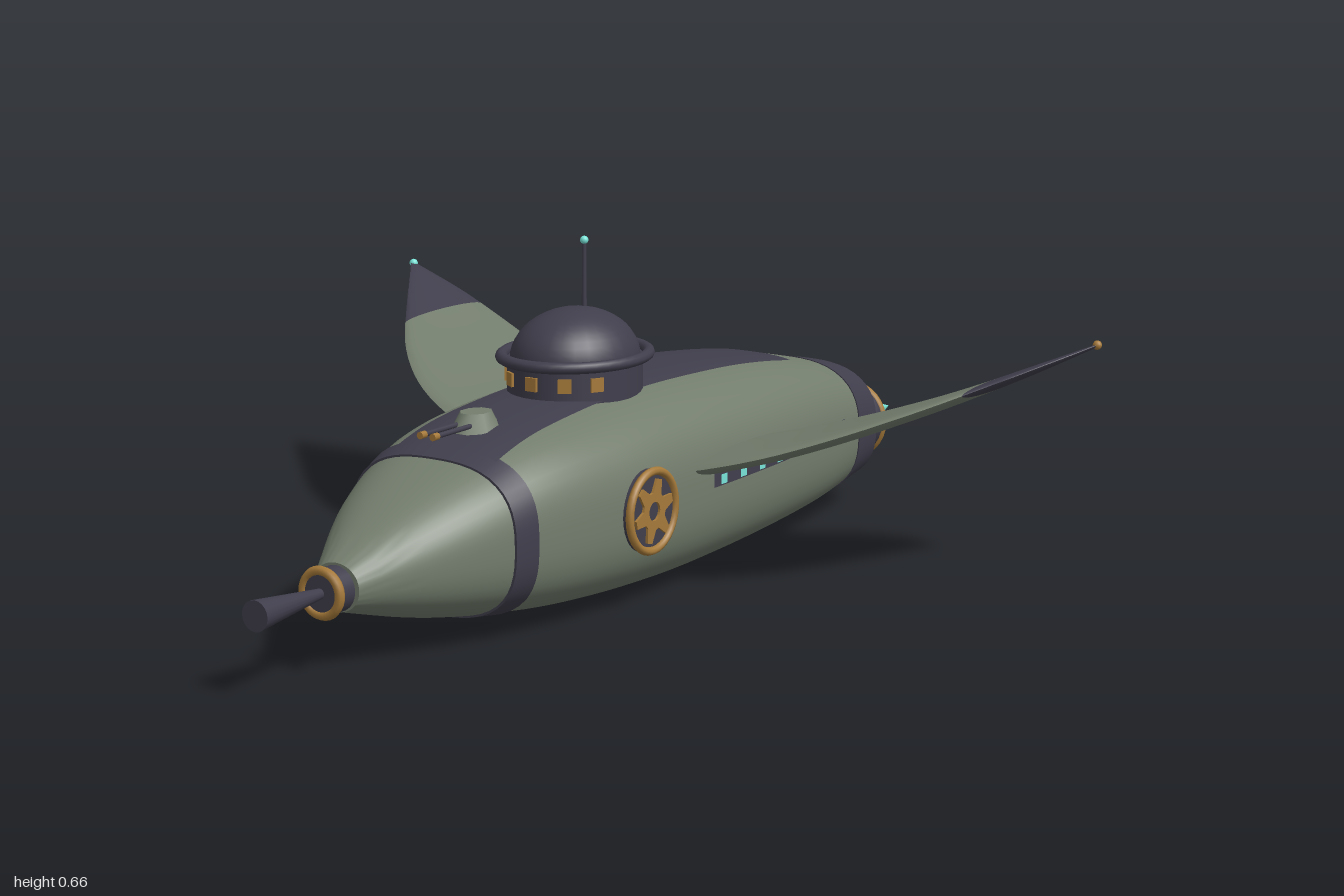
import * as THREE from 'three';
import { toCreasedNormals } from 'three/addons/utils/BufferGeometryUtils.js';

const paint = (name, color) => Object.assign(new THREE.MeshStandardMaterial({ color }), { name });

// Smooth interpolation through evenly spaced keys, t in 0..1
function sample(keys, t) {
  const n = keys.length - 1, f = Math.min(Math.max(t, 0), 1) * n;
  const i = Math.min(Math.floor(f), n - 1), k = f - i;
  const p1 = keys[i], p2 = keys[i + 1];
  const p0 = i > 0 ? keys[i - 1] : 2 * p1 - p2;
  const p3 = i + 2 <= n ? keys[i + 2] : 2 * p2 - p1;
  return p1 + 0.5 * k * (p2 - p0 + k * (2 * p0 - 5 * p1 + 4 * p2 - p3 + k * (3 * (p1 - p2) + p3 - p0)));
}

// Surface from a rule fn(u, v) -> [x, y, z]
function surface(nu, nv, fn) {
  const pos = [], idx = [];
  for (let i = 0; i <= nu; i++) for (let j = 0; j <= nv; j++) pos.push(...fn(i / nu, j / nv));
  for (let i = 0; i < nu; i++) for (let j = 0; j < nv; j++) {
    const a = i * (nv + 1) + j, b = a + nv + 1;
    idx.push(a, b, b + 1, a, b + 1, a + 1);
  }
  const g = new THREE.BufferGeometry();
  g.setAttribute('position', new THREE.Float32BufferAttribute(pos, 3));
  g.setIndex(idx);
  return toCreasedNormals(g, 0.7);
}

// Hull section keys, z from -0.8 to 0.8 in steps of 0.2
const HALF_WIDTH = [0.165, 0.2, 0.225, 0.237, 0.24, 0.235, 0.207, 0.145, 0.04];
const TOP = [0.29, 0.335, 0.362, 0.375, 0.38, 0.372, 0.348, 0.285, 0.18];
const BOTTOM = [0.04, 0.02, 0.01, 0.003, 0, 0.008, 0.025, 0.055, 0.108];
const SQUARENESS = [2.6, 2.8, 2.8, 2.8, 2.8, 2.8, 2.8, 2.5, 2];
function section(z) {
  const t = (z + 0.8) / 1.6, top = sample(TOP, t), bot = sample(BOTTOM, t);
  return { w: sample(HALF_WIDTH, t), h: (top - bot) / 2, cy: (top + bot) / 2, n: sample(SQUARENESS, t) };
}

// Hull skin through rows of [z, scale]
function hullSkin(rows) {
  return surface(rows.length - 1, 56, (u, v) => {
    const [z, k] = rows[Math.round(u * (rows.length - 1))];
    const { w, h, cy, n } = section(z), a = v * Math.PI * 2;
    const s = Math.sin(a), c = Math.cos(a);
    const r = k / Math.pow(Math.abs(s) ** n + Math.abs(c) ** n, 1 / n);
    return [w * r * s, cy + h * r * c, z];
  });
}
const hullSideX = (y, z) => {
  const { w, h, cy, n } = section(z);
  return w * Math.pow(Math.max(0, 1 - Math.abs((y - cy) / h) ** n), 1 / n);
};
const hullTopY = (x, z) => {
  const { w, h, cy, n } = section(z);
  return cy + h * Math.pow(Math.max(0, 1 - Math.abs(x / w) ** n), 1 / n);
};

export function createModel() {
  const model = new THREE.Group();
  model.name = 'submarine';
  const olive = paint('olive grey', 0x737d6d);
  const dark = paint('dark slate', 0x403e4c);
  const brass = paint('brass', 0xa67a3a);
  const cyan = paint('cyan', 0x78e4d8);

  const add = (name, geo, mat, p = [0, 0, 0], r = [0, 0, 0], parent = model) => {
    const m = new THREE.Mesh(geo, mat);
    m.name = name;
    m.position.set(...p);
    m.rotation.set(...r);
    parent.add(m);
    return m;
  };

  // Hull, tail band and nose band
  const hullRows = [];
  for (let i = 0; i <= 40; i++) hullRows.push([-0.79 + 1.57 * i / 40, 1]);
  add('hull', hullSkin([...hullRows, [0.78, 0]]), olive);
  add('tailBand', hullSkin([[-0.805, 0], [-0.805, 1.012], [-0.77, 1.012], [-0.74, 1.012], [-0.705, 1.012], [-0.705, 0.97]]), dark);
  add('noseBand', hullSkin([[0.45, 0.97], [0.45, 1.02], [0.475, 1.02], [0.5, 1.025], [0.5, 0.97]]), dark);

  // Deck panel, slightly wider towards the bow
  add('deckPanel', surface(40, 12, (u, v) => {
    const z = -0.57 + 1.03 * u, x = (v * 2 - 1) * (0.1 + 0.012 * u);
    return [x, hullTopY(x, z) + 0.004, z];
  }), dark);

  // Thin plate lying on the hull side
  const sidePlate = (name, side, y0, y1, zMid, len, lift, mat, seg) =>
    add(name, surface(2, seg, (u, v) => {
      const y = y0 + (y1 - y0) * u, z = zMid + side * (v - 0.5) * len;
      return [side * (hullSideX(y, z) + lift), y, z];
    }), mat);

  // Gear emblem outline
  const gear = new THREE.Shape();
  for (let i = 0; i < 24; i++) {
    const a = (i + 0.5) / 24 * Math.PI * 2, r = i % 4 < 2 ? 0.061 : 0.036;
    gear[i ? 'lineTo' : 'moveTo'](r * Math.cos(a), r * Math.sin(a));
  }
  gear.closePath();
  gear.holes.push(new THREE.Path().absarc(0, 0, 0.018, 0, Math.PI * 2, true));
  const gearGeo = new THREE.ExtrudeGeometry(gear, { depth: 0.006, bevelEnabled: false });

  // Fin keys, x from 0.15 to 0.81
  const LEAD = [0.005, -0.003, -0.03, -0.09, -0.195, -0.345, -0.505];
  const TRAIL = [-0.32, -0.4, -0.468, -0.515, -0.538, -0.54, -0.518];
  const RISE = [0.215, 0.24, 0.27, 0.308, 0.352, 0.402, 0.455];
  const THICK = [0.026, 0.024, 0.021, 0.017, 0.013, 0.009, 0.003];
  const fin = (side, x0, x1, seg) => surface(seg, 24, (u, v) => {
    const x = x0 + (x1 - x0) * u, t = (x - 0.15) / 0.66, a = side * v * Math.PI * 2;
    const l = sample(LEAD, t), b = sample(TRAIL, t);
    return [side * x, sample(RISE, t) + sample(THICK, t) * Math.sin(a), (l + b) / 2 + (l - b) / 2 * Math.cos(a)];
  });

  // Engine nozzle profile, open at the rear
  const nozzleGeo = new THREE.LatheGeometry([[0.07, 0], [0.072, 0.03], [0.078, 0.05], [0.064, 0.05], [0.058, 0.012], [0, 0.012]]
    .map(([x, y]) => new THREE.Vector2(x, y)), 28);

  for (const side of [1, -1]) {
    const tag = side > 0 ? 'left' : 'right';

    // Fins with dark ends and a small lamp
    add(tag + 'Fin', fin(side, 0.15, 0.65, 20), olive);
    add(tag + 'FinTip', fin(side, 0.65, 0.81, 8), dark);
    add(tag + 'FinLamp', new THREE.SphereGeometry(0.009, 10, 8), side > 0 ? brass : cyan, [side * 0.808, 0.455, -0.512]);

    // Row of lit portholes
    sidePlate(tag + 'WindowStrip', side, 0.191, 0.218, -0.34, 0.56, 0.003, dark, 24);
    for (let i = 0; i < 8; i++)
      sidePlate(tag + 'Window', side, 0.195, 0.214, -0.09 - i * 0.0715, 0.022, 0.007, cyan, 1);

    // Side medallion
    const medal = new THREE.Group();
    medal.name = tag + 'Medallion';
    medal.position.set(side * 0.236, 0.19, 0.155);
    medal.rotation.y = side * Math.PI / 2;
    model.add(medal);
    add('medallionDisc', new THREE.CylinderGeometry(0.078, 0.078, 0.03, 32), dark, [0, 0, -0.006], [Math.PI / 2, 0, 0], medal);
    add('medallionRim', new THREE.TorusGeometry(0.075, 0.008, 8, 36), brass, [0, 0, 0.009], [0, 0, 0], medal);
    add('medallionGear', gearGeo, brass, [0, 0, 0.008], [0, 0, 0], medal);

    // Engines
    const back = [-Math.PI / 2, 0, 0], ex = side * 0.085;
    add(tag + 'Nozzle', nozzleGeo, dark, [ex, 0.165, -0.798], back);
    add(tag + 'NozzleRim', new THREE.TorusGeometry(0.073, 0.008, 8, 32), brass, [ex, 0.165, -0.847]);
    add(tag + 'Exhaust', new THREE.ConeGeometry(0.051, 0.17, 24), cyan, [ex, 0.165, -0.915], back);

    // Deck gun barrels
    const ahead = [Math.PI / 2, 0, 0];
    add(tag + 'GunBarrel', new THREE.CylinderGeometry(0.005, 0.005, 0.12, 8), dark, [side * 0.014, 0.366, 0.445], ahead);
    add(tag + 'GunMuzzle', new THREE.CylinderGeometry(0.007, 0.007, 0.015, 8), brass, [side * 0.014, 0.366, 0.51], ahead);
  }

  // Deck gun body
  const gun = add('gunBody', new THREE.CylinderGeometry(0.028, 0.044, 0.034, 8), olive, [0, 0.369, 0.367], [0, Math.PI / 8, 0]);
  gun.geometry.rotateY(Math.PI / 8);
  gun.rotation.y = 0;
  gun.scale.z = 1.25;

  // Conning tower, oval along the hull
  const tower = new THREE.Group();
  tower.name = 'conningTower';
  tower.position.z = 0.05;
  tower.scale.z = 1.16;
  model.add(tower);
  add('towerWall', new THREE.CylinderGeometry(0.122, 0.122, 0.1, 32), dark, [0, 0.388, 0], [0, 0, 0], tower);
  add('towerBrim', new THREE.TorusGeometry(0.132, 0.011, 10, 40), dark, [0, 0.441, 0], [Math.PI / 2, 0, 0], tower);
  const dome = add('towerDome', new THREE.SphereGeometry(0.117, 28, 12, 0, Math.PI * 2, 0, Math.PI / 2), dark, [0, 0.435, 0], [0, 0, 0], tower);
  dome.scale.y = 0.81;
  for (const deg of [-57, -30, 0, 30, 57]) {
    const a = deg * Math.PI / 180;
    add('towerWindow', new THREE.BoxGeometry(0.024, 0.026, 0.008), brass,
      [0.122 * Math.sin(a), 0.405, 0.122 * Math.cos(a)], [0, a, 0], tower);
  }

  // Antenna
  add('antenna', new THREE.CylinderGeometry(0.004, 0.005, 0.135, 8), dark, [0, 0.585, 0.02]);
  add('antennaLamp', new THREE.SphereGeometry(0.008, 10, 8), cyan, [0, 0.653, 0.02]);

  // Bow collar and flared horn
  const forward = [Math.PI / 2, 0, 0];
  add('bowCollar', new THREE.CylinderGeometry(0.04, 0.043, 0.07, 24), dark, [0, 0.145, 0.79], forward);
  add('bowRing', new THREE.TorusGeometry(0.04, 0.009, 8, 32), brass, [0, 0.145, 0.82]);
  add('bowHorn', new THREE.CylinderGeometry(0.028, 0.009, 0.18, 20), dark, [0, 0.145, 0.91], forward);

  return model;
}
